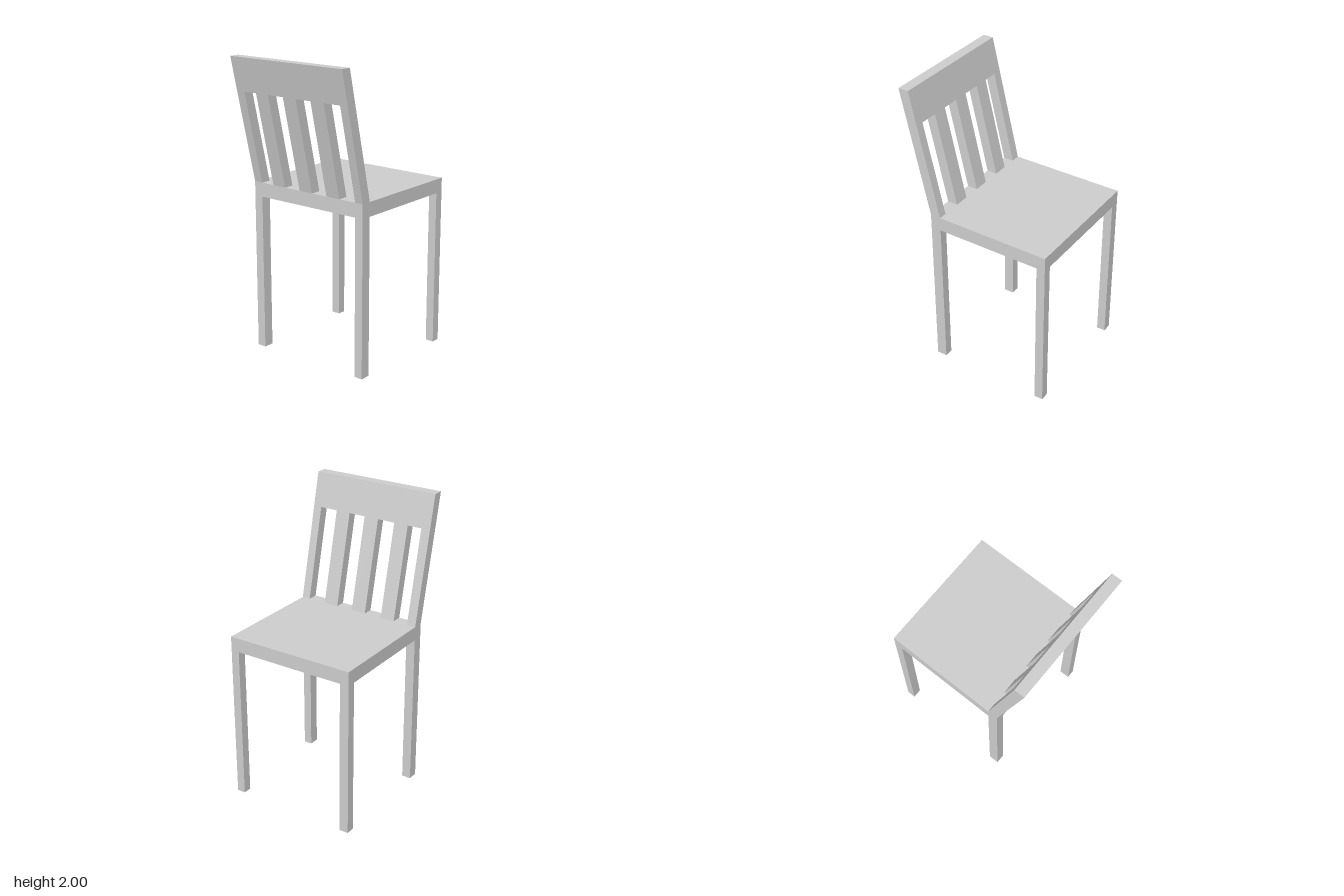
import * as THREE from 'three';

const WIDTH = 0.898, HALF = WIDTH / 2;
const SEAT_BOTTOM = 1.06, SEAT_TOP = 1.155, RAIL_BOTTOM = 1.775, TOP = 2;
const Z_MIN = -0.527, Z_MAX = 0.328;   // seat extent; the backrest rises at Z_MAX
const THICK = 0.071, LEAN = 0.199;     // backrest thickness and how far its top leans out

export function createModel() {
  const group = new THREE.Group();
  const material = new THREE.MeshStandardMaterial({ color: 0xcccccc, flatShading: true });

  const add = (name, geometry) => {
    const mesh = new THREE.Mesh(geometry, material);
    mesh.name = name;
    group.add(mesh);
    return mesh;
  };
  const addBox = (name, x0, x1, y0, y1, z0, z1) =>
    add(name, new THREE.BoxGeometry(x1 - x0, y1 - y0, z1 - z0))
      .position.set((x0 + x1) / 2, (y0 + y1) / 2, (z0 + z1) / 2);

  // Seat slab
  addBox('seat', -HALF, HALF, SEAT_BOTTOM, SEAT_TOP, Z_MIN, Z_MAX);

  // Four square legs, flush with the seat corners
  for (const [side, x0, x1] of [['Right', -HALF, -0.386], ['Left', 0.391, HALF]]) {
    addBox(`backrestLeg${side}`, x0, x1, 0, SEAT_BOTTOM, Z_MAX - THICK, Z_MAX);
    addBox(`seatEdgeLeg${side}`, x0, x1, 0, SEAT_BOTTOM, Z_MIN, -0.467);
  }

  // Backrest outline: two posts and three slats hanging from a broad top rail
  const gaps = [[-0.386, -0.285], [-0.184, -0.06], [0.044, 0.162], [0.265, 0.391]];
  const outline = new THREE.Shape().moveTo(-HALF, SEAT_TOP);
  for (const [x0, x1] of gaps) {
    outline.lineTo(x0, SEAT_TOP).lineTo(x0, RAIL_BOTTOM);
    outline.lineTo(x1, RAIL_BOTTOM).lineTo(x1, SEAT_TOP);
  }
  outline.lineTo(HALF, SEAT_TOP).lineTo(HALF, TOP).lineTo(-HALF, TOP).closePath();

  // Shear the backrest so it leans outward while its horizontal edges stay level
  const back = new THREE.ExtrudeGeometry(outline, { depth: THICK, bevelEnabled: false });
  back.translate(0, 0, Z_MAX - THICK);
  const p = back.attributes.position;
  for (let i = 0; i < p.count; i++) {
    p.setZ(i, p.getZ(i) + LEAN * (p.getY(i) - SEAT_TOP) / (TOP - SEAT_TOP));
  }
  back.computeVertexNormals();
  add('backrest', back);

  return group;
}
